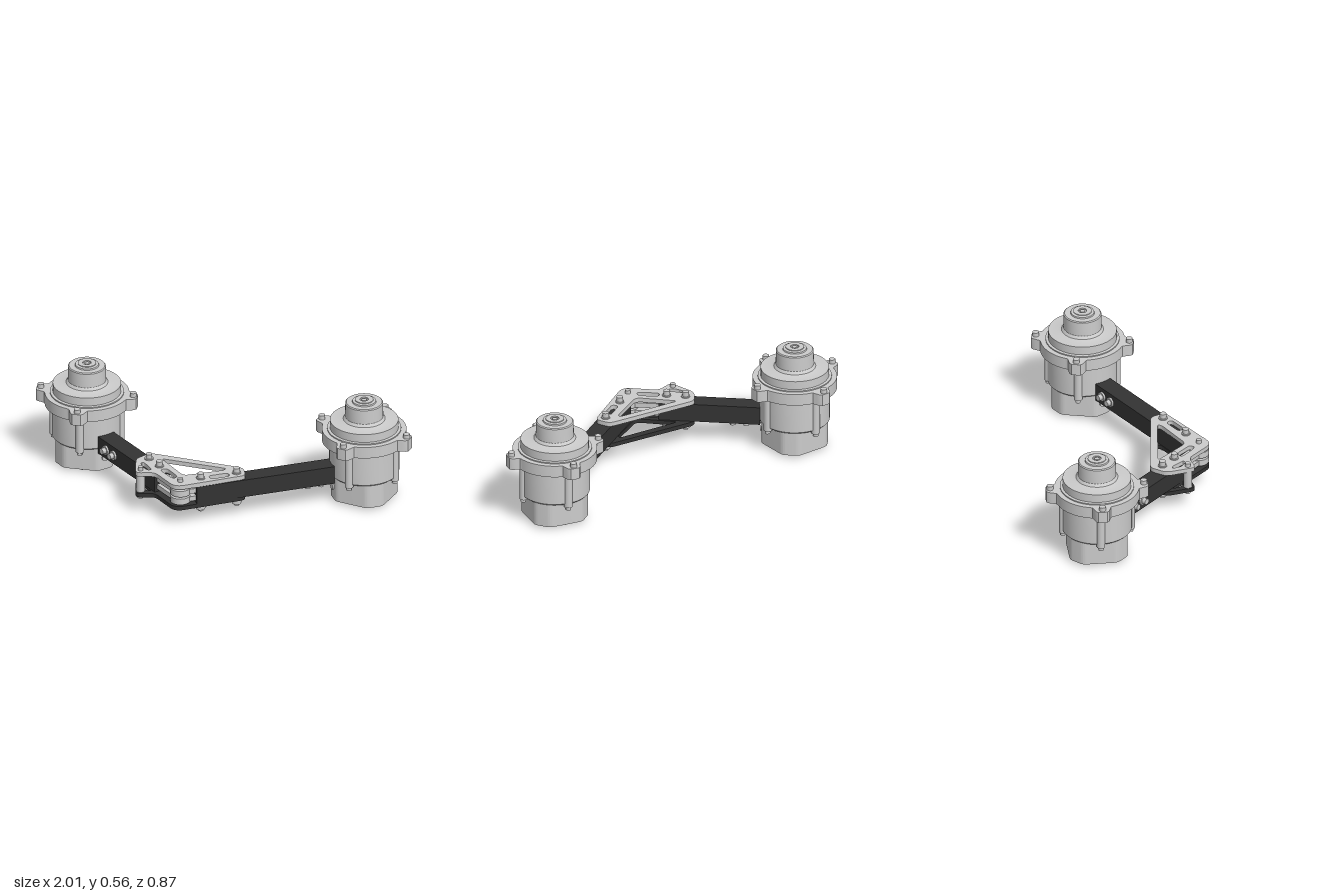
import * as THREE from 'three';
import { toCreasedNormals } from 'three/addons/utils/BufferGeometryUtils.js';

const grey = new THREE.MeshStandardMaterial({ color: 0xcccccc });
const black = new THREE.MeshStandardMaterial({ color: 0x333333 });
const PIVOT = [-0.083, 0.38];

function add(parent, name, geometry, material = grey, x = 0, y = 0, z = 0) {
  const mesh = new THREE.Mesh(geometry, material);
  mesh.name = name;
  mesh.position.set(x, y, z);
  parent.add(mesh);
  return mesh;
}

// Upright cylinder between two heights
function post(parent, name, r, y0, y1, x = 0, z = 0, sides = 24) {
  return add(parent, name, new THREE.CylinderGeometry(r, r, y1 - y0, sides), grey, x, (y0 + y1) / 2, z);
}

// Flat outline in x/z, extruded down from yTop
function slab(parent, name, shape, yTop, height, material = grey) {
  const g = new THREE.ExtrudeGeometry(shape, { depth: height, bevelEnabled: false, curveSegments: 10 });
  g.rotateX(Math.PI / 2);
  return add(parent, name, toCreasedNormals(g, 0.5), material, 0, yTop, 0);
}

function lathe(parent, name, points) {
  const g = new THREE.LatheGeometry(points.map(([r, y]) => new THREE.Vector2(r, y)), 40);
  return add(parent, name, toCreasedNormals(g, 0.5));
}

// Polygon with every corner rounded
function rounded(points, r, Type = THREE.Path) {
  const path = new Type();
  const v = points.map(([x, y]) => new THREE.Vector2(x, y));
  v.forEach((p, i) => {
    const toward = (q) => p.clone().add(q.clone().sub(p).setLength(Math.min(r, q.distanceTo(p) * 0.45)));
    const a = toward(v[(i + v.length - 1) % v.length]);
    const b = toward(v[(i + 1) % v.length]);
    if (i === 0) path.moveTo(a.x, a.y); else path.lineTo(a.x, a.y);
    path.quadraticCurveTo(p.x, p.y, b.x, b.y);
  });
  path.closePath();
  return path;
}

function createMotor(name, x, turn) {
  const motor = new THREE.Group();
  motor.name = name;
  motor.position.set(x, 0, -0.176);
  motor.rotation.y = turn;

  // Gearbox base: square with cut corners
  const h = 0.15, c = 0.09;
  const base = [[h, c], [c, h], [-c, h], [-h, c], [-h, -c], [-c, -h], [c, -h], [h, -c]];
  slab(motor, 'lowerHousing', rounded(base, 0.02, THREE.Shape), 0.15, 0.135);

  lathe(motor, 'body', [[0, 0.142], [0.172, 0.142], [0.18, 0.15], [0.18, 0.33], [0, 0.33]]);

  // Flange with four bolt ears
  const outline = [];
  for (let i = 0; i < 144; i++) {
    const a = (i / 144) * Math.PI * 2;
    const off = Math.abs(a - Math.round(a / (Math.PI / 2)) * Math.PI / 2);
    const r = 0.217 + 0.047 * (1 - THREE.MathUtils.smoothstep(off, 0.09, 0.24));
    outline.push(new THREE.Vector2(r * Math.cos(a), r * Math.sin(a)));
  }
  slab(motor, 'flange', new THREE.Shape(outline), 0.388, 0.063);

  // Stepped cover and bearing neck
  lathe(motor, 'cover', [[0.19, 0.385], [0.19, 0.394], [0.176, 0.396], [0.176, 0.441], [0.125, 0.441],
    [0.108, 0.446], [0.098, 0.46], [0.097, 0.537], [0.092, 0.542], [0.062, 0.542], [0.06, 0.549], [0, 0.549]]);
  lathe(motor, 'shaftCap', [[0.022, 0.545], [0.036, 0.545], [0.036, 0.552], [0.047, 0.552], [0.047, 0.556],
    [0.022, 0.556], [0.022, 0.545]]);
  post(motor, 'shaftScrew', 0.014, 0.545, 0.554, 0, 0, 6);

  for (let i = 0; i < 4; i++) {
    const a = (i * Math.PI) / 2, dx = Math.cos(a), dz = Math.sin(a);
    post(motor, 'earBolt', 0.017, 0.385, 0.41, dx * 0.242, dz * 0.242, 12);
    post(motor, 'bodyColumn', 0.022, 0.13, 0.33, dx * 0.174, dz * 0.174, 16);
    post(motor, 'columnBolt', 0.014, 0.112, 0.132, dx * 0.176, dz * 0.176, 6);
    post(motor, 'baseScrew', 0.008, 0, 0.02, dx * 0.118, dz * 0.118, 8);
  }

  // Side port on the cut corner that faces the hinge
  const side = x < 0 ? 1 : -1;
  const port = post(motor, 'sidePort', 0.02, -0.008, 0.008, side * 0.12, 0.12, 16);
  port.position.y = 0.085;
  port.rotation.set(Math.PI / 2, 0, -side * Math.PI / 4);
  return motor;
}

// Square tube from motor toward hinge; local +x points at the hinge
function createArm(name, motorX, gap, bolts) {
  const arm = new THREE.Group();
  arm.name = name;
  const dx = PIVOT[0] - motorX, dz = PIVOT[1] + 0.176;
  const length = Math.hypot(dx, dz);
  arm.position.set(motorX, 0, -0.176);
  arm.rotation.y = Math.atan2(-dz, dx);

  const start = 0.175, end = length - gap;
  add(arm, 'tube', new THREE.BoxGeometry(end - start, 0.097, 0.096), black, (start + end) / 2, 0.1685, 0);
  for (const y of [0.147, 0.19]) {
    add(arm, 'hingeTongue', new THREE.BoxGeometry(gap + 0.01, 0.026, 0.066), grey, end + gap / 2, y, 0);
  }
  for (const t of bolts) {
    const head = post(arm, 'sideBolt', 0.025, -0.006, 0.006, t, 0.052);
    head.position.y = 0.172;
    head.rotation.x = Math.PI / 2;
    const hex = post(arm, 'sideBoltHead', 0.018, -0.013, 0.013, t, 0.066, 6);
    hex.position.y = 0.172;
    hex.rotation.x = Math.PI / 2;
    post(arm, 'undersideWasher', 0.022, 0.112, 0.122, t, 0);
    post(arm, 'undersideBolt', 0.016, 0.092, 0.114, t, 0, 6);
  }
  return arm;
}

function createBracket() {
  const bracket = new THREE.Group();
  bracket.name = 'hingeBracket';

  const outline = [[-0.32, 0.118], [0.185, 0.145], [0.222, 0.222], [-0.07, 0.432], [-0.11, 0.432],
    [-0.235, 0.322], [-0.33, 0.353], [-0.372, 0.2]];
  const plate = rounded(outline, 0.03, THREE.Shape);
  plate.holes.push(
    rounded([[-0.245, 0.163], [0.105, 0.177], [0.095, 0.2], [-0.075, 0.305], [-0.1, 0.3]], 0.02),
    rounded([[0.125, 0.223], [0.147, 0.252], [0.06, 0.312], [0.038, 0.283]], 0.018),
    rounded([[-0.205, 0.268], [-0.18, 0.268], [-0.112, 0.33], [-0.122, 0.356], [-0.14, 0.352], [-0.215, 0.29]], 0.015),
    rounded([[-0.335, 0.235], [-0.318, 0.23], [-0.262, 0.29], [-0.275, 0.305], [-0.315, 0.28]], 0.012),
  );
  slab(bracket, 'topPlate', plate, 0.24, 0.023);
  slab(bracket, 'bottomPlate', plate, 0.12, 0.022, black);

  // Bolts through both plates and tubes
  for (const [x, z] of [[-0.307, 0.182], [-0.233, 0.246], [0.008, 0.318], [0.168, 0.209]]) {
    post(bracket, 'boltWasher', 0.023, 0.239, 0.246, x, z);
    post(bracket, 'boltHead', 0.017, 0.245, 0.27, x, z, 12);
    post(bracket, 'nutWasher', 0.027, 0.092, 0.1, x, z);
    post(bracket, 'lockNut', 0.025, 0.066, 0.093, x, z, 6);
    post(bracket, 'boltTip', 0.014, 0.056, 0.068, x, z, 12);
  }

  // Hinge stack and corner spacer
  const corner = [-0.315, 0.312];
  for (const [x, z] of [PIVOT, corner]) {
    post(bracket, 'pinHead', 0.014, 0.239, 0.259, x, z, 12);
    post(bracket, 'pinNut', 0.015, 0.08, 0.1, x, z, 6);
  }
  post(bracket, 'hingePin', 0.025, 0.11, 0.225, ...PIVOT);
  post(bracket, 'lowerKnuckle', 0.052, 0.13, 0.163, ...PIVOT);
  post(bracket, 'upperKnuckle', 0.052, 0.174, 0.207, ...PIVOT);
  post(bracket, 'cornerSpacer', 0.022, 0.115, 0.22, ...corner);
  return bracket;
}

export function createModel() {
  const model = new THREE.Group();
  model.name = 'twinMotorLinkage';
  model.add(
    createMotor('rightMotor', -0.741, 0.07),
    createMotor('leftMotor', 0.738, -0.18),
    createArm('rightArm', -0.741, 0.165, [0.25, 0.32]),
    createArm('leftArm', 0.738, 0.075, [0.235, 0.305]),
    createBracket(),
  );
  return model;
}
